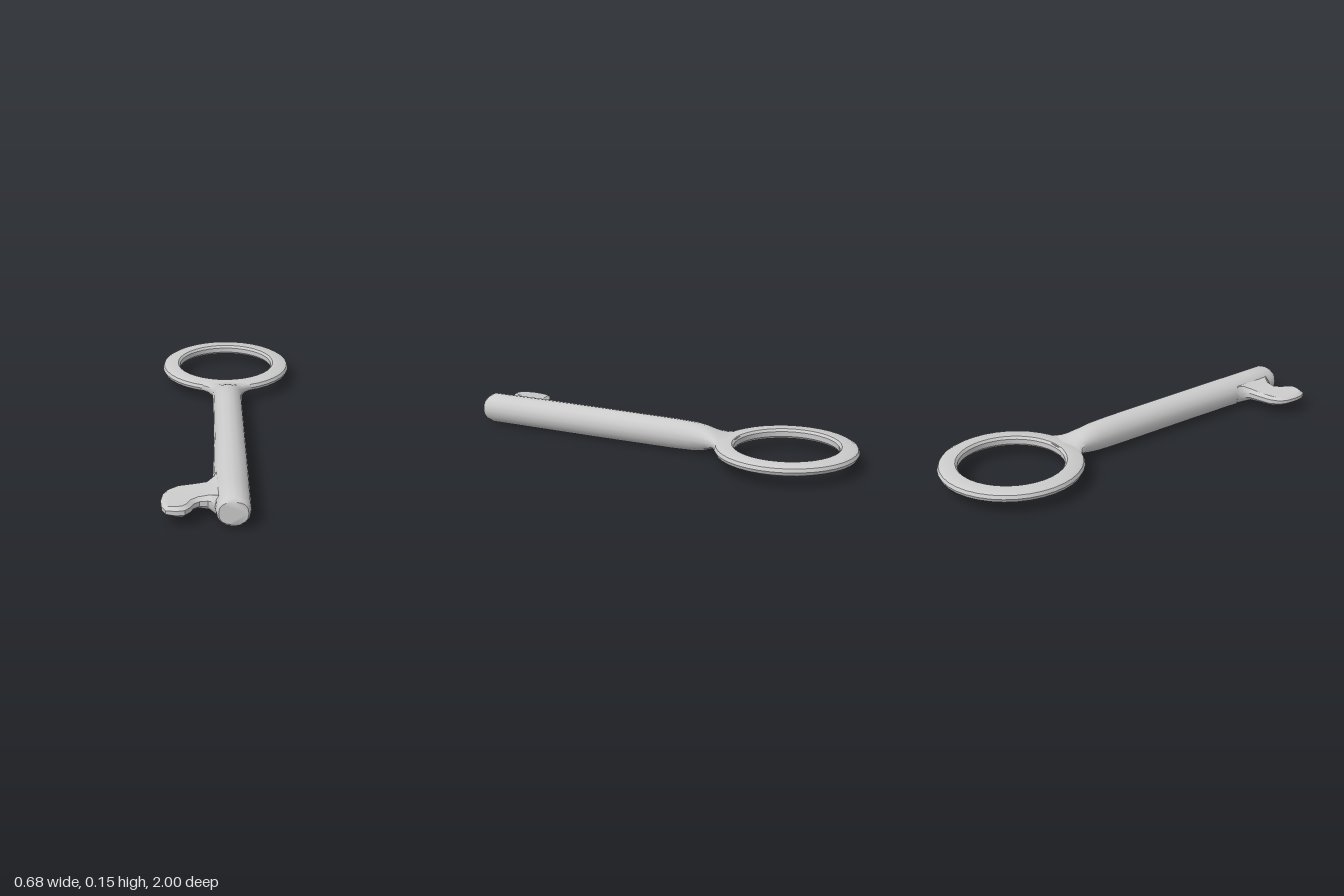
import * as THREE from 'three';
import { toCreasedNormals } from 'three/addons/utils/BufferGeometryUtils.js';

const MID = 0.079; // height of the key's middle plane

function addPart(group, name, geometry, crease = 0.75) {
  const material = new THREE.MeshStandardMaterial({ color: 0xcccccc });
  const mesh = new THREE.Mesh(toCreasedNormals(geometry, crease), material);
  mesh.name = name;
  mesh.position.y = MID;
  group.add(mesh);
  return mesh;
}

// Lofts along z; each section is [z, left half-width (+x), right half-width (-x), half-height, squareness]
function loft(sections, sides) {
  const pos = [], idx = [];
  const bulge = (v, p) => Math.sign(v) * Math.pow(Math.abs(v), p);
  for (const [z, left, right, h, p] of sections) {
    for (let j = 0; j < sides; j++) {
      const a = (j / sides) * Math.PI * 2;
      const c = bulge(Math.cos(a), p);
      pos.push(c * (c > 0 ? left : right), h * bulge(Math.sin(a), p), z);
    }
  }
  const n = sections.length;
  for (let i = 0; i < n - 1; i++) {
    for (let j = 0; j < sides; j++) {
      const k = (j + 1) % sides;
      const a = i * sides + j, b = i * sides + k;
      idx.push(a, b, b + sides, a, b + sides, a + sides);
    }
  }
  // End caps
  const last = (n - 1) * sides;
  for (let j = 1; j < sides - 1; j++) {
    idx.push(0, j + 1, j, last, last + j, last + j + 1);
  }
  const g = new THREE.BufferGeometry();
  g.setAttribute('position', new THREE.Float32BufferAttribute(pos, 3));
  g.setIndex(idx);
  return g;
}

export function createModel() {
  const key = new THREE.Group();
  key.name = 'key';

  // Ring handle with a softened, flat-topped cross-section
  const profile = [
    [0.246, -0.012], [0.256, -0.024], [0.316, -0.024], [0.331, -0.016], [0.338, 0],
    [0.331, 0.016], [0.316, 0.024], [0.256, 0.024], [0.246, 0.012], [0.246, -0.012],
  ].map(([r, y]) => new THREE.Vector2(r, y));
  const bow = addPart(key, 'ringHandle', new THREE.LatheGeometry(profile, 36), 0.6);
  bow.position.z = -0.66;

  // Round shaft that flattens and flares into the ring
  addPart(key, 'shaft', loft([
    [-0.41, 0.205, 0.205, 0.021, 0.65],
    [-0.385, 0.185, 0.185, 0.022, 0.65],
    [-0.355, 0.136, 0.136, 0.025, 0.7],
    [-0.325, 0.1, 0.1, 0.032, 0.8],
    [-0.29, 0.081, 0.081, 0.045, 0.9],
    [-0.25, 0.075, 0.075, 0.06, 1],
    [-0.19, 0.073, 0.073, 0.07, 1],
    [-0.08, 0.073, 0.073, 0.074, 1],
    [0.3, 0.074, 0.074, 0.076, 1],
    [0.6, 0.075, 0.081, 0.076, 1],
    [0.73, 0.075, 0.086, 0.076, 1],
    [0.84, 0.075, 0.08, 0.076, 1],
    [0.965, 0.075, 0.075, 0.076, 1],
    [0.988, 0.071, 0.071, 0.066, 0.95],
    [1.0, 0.062, 0.062, 0.052, 0.8],
  ], 16));

  // Flat bit with a hooked tip, thickening where it joins the shaft
  const outline = [
    [-0.03, 0.69], [-0.082, 0.7], [-0.092, 0.735], [-0.115, 0.756], [-0.17, 0.765],
    [-0.235, 0.778], [-0.278, 0.805], [-0.296, 0.84], [-0.303, 0.9], [-0.298, 0.95],
    [-0.28, 0.985], [-0.235, 0.996], [-0.2, 0.99], [-0.178, 0.965], [-0.165, 0.935],
    [-0.14, 0.915], [-0.105, 0.915], [-0.08, 0.935], [-0.03, 0.95],
  ].map(([x, z]) => new THREE.Vector2(x, z));
  const bit = new THREE.ExtrudeGeometry(new THREE.Shape(outline), {
    depth: 0.022, bevelEnabled: true, bevelSegments: 1,
    bevelSize: 0.016, bevelOffset: -0.016, bevelThickness: 0.015,
  });
  bit.translate(0, 0, -0.011);
  bit.rotateX(Math.PI / 2);
  const p = bit.attributes.position;
  for (let i = 0; i < p.count; i++) {
    const x = p.getX(i);
    const root = THREE.MathUtils.smoothstep(x, -0.13, -0.05);
    const tip = THREE.MathUtils.smoothstep(-x, 0.2, 0.3);
    p.setY(i, p.getY(i) * (1 + 0.9 * root - 0.25 * tip));
  }
  addPart(key, 'bit', bit, 0.6);

  return key;
}
